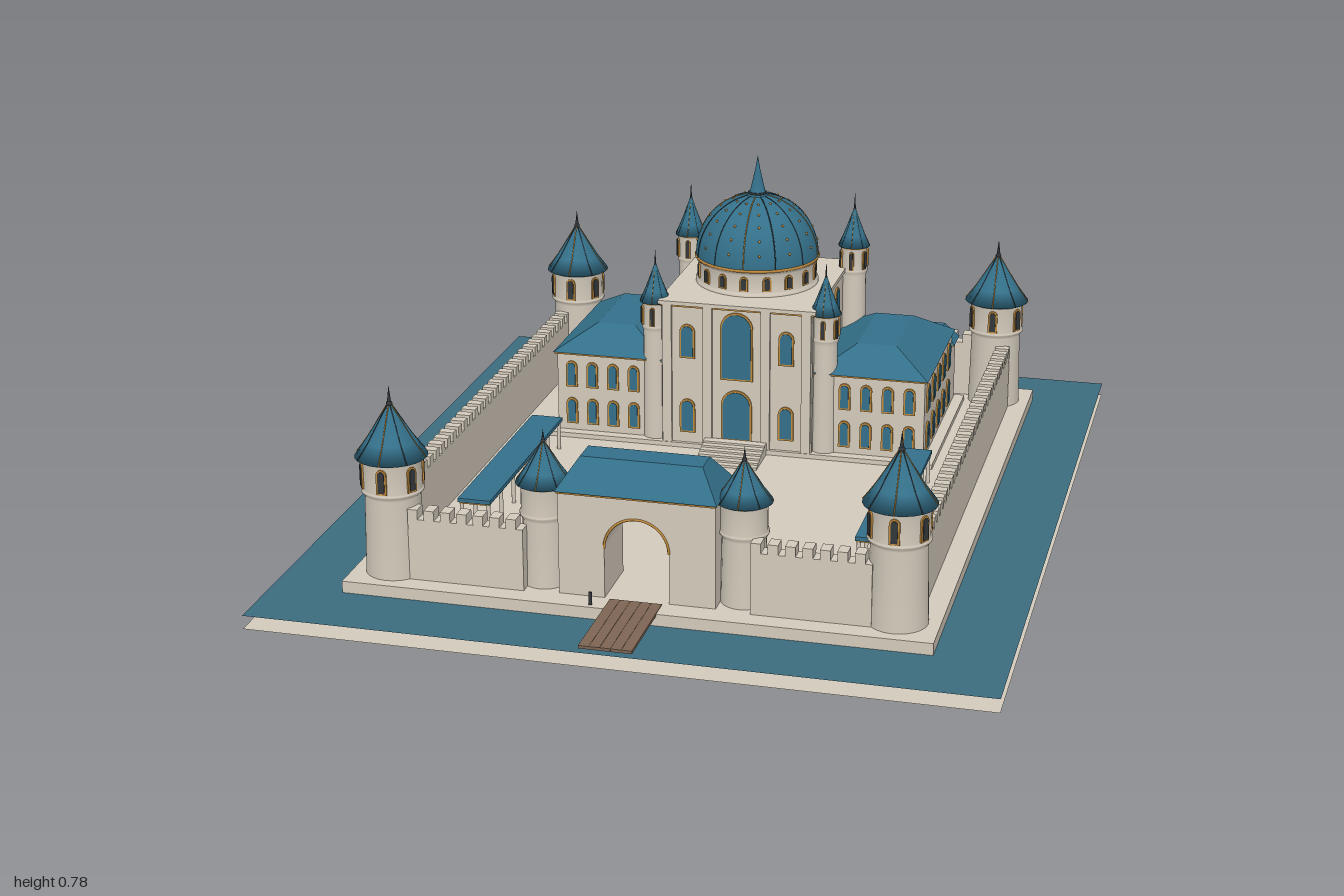
import * as THREE from 'three';

const mat = (name, color, side = THREE.FrontSide) => {
  const m = new THREE.MeshStandardMaterial({ color, side });
  m.name = name;
  return m;
};
const stone = mat('stone', 0xd3cabb, THREE.DoubleSide);
const roof = mat('roofBlue', 0x34708a);
const water = mat('waterBlue', 0x3d6c7f, THREE.DoubleSide);
const gold = mat('gold', 0xc08a3c);
const wood = mat('wood', 0x7d6553);
const dark = mat('darkMetal', 0x33373b);

const FLOOR = 0.06;

function add(parent, name, geo, material, x = 0, y = 0, z = 0) {
  const m = new THREE.Mesh(geo, material);
  m.name = name;
  m.position.set(x, y, z);
  parent.add(m);
  return m;
}

// Box given by its extents
function block(parent, name, material, x0, x1, y0, y1, z0, z1) {
  return add(parent, name, new THREE.BoxGeometry(x1 - x0, y1 - y0, z1 - z0), material,
    (x0 + x1) / 2, (y0 + y1) / 2, (z0 + z1) / 2);
}

const lathe = (points, seg = 24) =>
  new THREE.LatheGeometry(points.map(([r, y]) => new THREE.Vector2(r, y)), seg);

// Hipped roof: a box whose top is drawn in to a smaller rectangle
function hipRoof(parent, name, x0, x1, y0, y1, z0, z1, insetX, insetZ) {
  const w = x1 - x0, d = z1 - z0;
  const geo = new THREE.BoxGeometry(w, y1 - y0, d);
  const p = geo.attributes.position;
  for (let i = 0; i < p.count; i++) {
    if (p.getY(i) > 0) {
      p.setX(i, p.getX(i) * (1 - 2 * insetX / w));
      p.setZ(i, p.getZ(i) * (1 - 2 * insetZ / d));
    }
  }
  geo.computeVertexNormals();
  add(parent, name, geo, roof, (x0 + x1) / 2, (y0 + y1) / 2, (z0 + z1) / 2);
  block(parent, name + 'Eave', gold, x0 + 0.003, x1 - 0.003, y0 - 0.005, y0, z0 + 0.003, z1 - 0.003);
}

function archShape(w, h, Type = THREE.Shape) {
  const s = new Type();
  s.moveTo(-w / 2, 0);
  s.lineTo(w / 2, 0);
  s.lineTo(w / 2, h - w / 2);
  s.absarc(0, h - w / 2, w / 2, 0, Math.PI, false);
  s.closePath();
  return s;
}

// Arched window: gold surround behind a thin pane, facing +z turned by angle
function archWindow(parent, x, y, z, w, h, angle = 0, pane = roof) {
  const g = new THREE.Group();
  g.name = 'archedWindow';
  const plate = (name, pw, ph, depth, m, dy) => add(g, name, new THREE.ExtrudeGeometry(
    archShape(pw, ph), { depth, bevelEnabled: false, curveSegments: 6 }), m, 0, dy, 0);
  const f = Math.min(0.005, w * 0.18);
  plate('windowFrame', w, h, 0.004, gold, 0);
  plate('windowPane', w - 2 * f, h - 2 * f, 0.006, pane, f);
  g.position.set(x, y, z);
  g.rotation.y = angle;
  parent.add(g);
}

// Round tower with collar, pointed roof, gold ribs, finial and windows
function tower(parent, name, x, z, r, y0, eave, apex, tip, windows, winH) {
  const g = new THREE.Group();
  g.name = name;
  g.position.set(x, 0, z);
  parent.add(g);
  const collar = eave - winH * 1.35;
  add(g, 'shaft', lathe([[r, y0], [r * 0.94, collar - 0.01], [r * 1.06, collar], [r * 1.06, collar + 0.005],
    [r, collar + 0.008], [r, eave - 0.008], [r * 1.1, eave]]), stone);
  add(g, 'eaveBand', new THREE.CylinderGeometry(r * 1.14, r * 1.1, 0.006, 24), gold, 0, eave, 0);
  const R = r * 1.22, h = apex - eave;
  add(g, 'roof', lathe([[0, eave], [R, eave], [R * 0.68, eave + h * 0.3], [R * 0.3, eave + h * 0.72], [0.003, apex]]), roof);
  for (let i = 0; i < 8; i++) {
    const a = i * Math.PI / 4;
    const at = (k, t) => new THREE.Vector3(Math.cos(a) * R * k, eave + h * t, Math.sin(a) * R * k);
    const path = new THREE.CatmullRomCurve3([at(1, 0.003), at(0.68, 0.3), at(0.3, 0.72), at(0.05, 1)]);
    add(g, 'roofRib', new THREE.TubeGeometry(path, 6, r * 0.02, 4), i % 2 ? dark : gold);
  }
  add(g, 'finialBall', new THREE.SphereGeometry(r * 0.11, 10, 8), dark, 0, apex, 0);
  add(g, 'finialSpike', new THREE.ConeGeometry(r * 0.08, tip - apex, 8), dark, 0, (tip + apex) / 2, 0);
  for (let i = 0; i < windows; i++) {
    const a = i * 2 * Math.PI / windows;
    archWindow(g, Math.sin(a) * r * 0.98, collar + winH * 0.15, Math.cos(a) * r * 0.98, r * 0.36, winH, a, dark);
  }
}

// Crenellated wall running between two points along one axis
function wall(parent, alongX, fixed, from, to) {
  const put = (name, a, b, y0, y1, t) => alongX
    ? block(parent, name, stone, a, b, y0, y1, fixed - t, fixed + t)
    : block(parent, name, stone, fixed - t, fixed + t, y0, y1, a, b);
  put('curtainWall', from, to, FLOOR, 0.207, 0.018);
  const n = Math.round((to - from) / 0.041), step = (to - from) / n;
  for (let i = 0; i < n; i++) put('merlon', from + i * step, from + (i + 0.6) * step, 0.207, 0.23, 0.018);
}

export function createModel() {
  const root = new THREE.Group();
  root.name = 'domedPalace';

  // Ground sheet, moat and plinth
  for (const [name, m, y] of [['groundSheet', stone, 0], ['moat', water, 0.032]]) {
    add(root, name, new THREE.PlaneGeometry(1.69, 1.975), m, 0, y, -0.0125).rotation.x = -Math.PI / 2;
  }
  block(root, 'plinth', stone, -0.675, 0.675, 0.001, FLOOR, -0.83, 0.805);

  // Bridge planks and gate post
  for (let i = 0; i < 5; i++) {
    const x = -0.06 + i * 0.024;
    block(root, 'bridgePlank', wood, x, x + 0.0235, 0.055, 0.062, 0.755, 1);
  }
  add(root, 'gatePost', new THREE.CylinderGeometry(0.004, 0.004, 0.03, 8), dark, -0.095, 0.075, 0.79);

  // Outer walls and corner towers
  wall(root, true, -0.768, -0.53, 0.53);
  for (const s of [-1, 1]) {
    wall(root, false, s * 0.608, -0.68, 0.66);
    wall(root, true, 0.738, s > 0 ? 0.26 : -0.53, s > 0 ? 0.53 : -0.26);
    for (const z of [-0.735, 0.71]) tower(root, 'cornerTower', s * 0.58, z, 0.068, FLOOR, 0.34, 0.462, 0.505, 6, 0.06);
    tower(root, 'gateTurret', s * 0.23, 0.685, 0.053, FLOOR, 0.3, 0.395, 0.425, 0, 0.055);
  }

  // Gatehouse with an arched passage
  const gate = new THREE.Shape();
  gate.moveTo(-0.18, 0);
  gate.lineTo(-0.074, 0);
  gate.lineTo(-0.074, 0.12);
  gate.absarc(0, 0.12, 0.074, Math.PI, 0, true);
  gate.lineTo(0.074, 0);
  gate.lineTo(0.18, 0);
  gate.lineTo(0.18, 0.242);
  gate.lineTo(-0.18, 0.242);
  gate.closePath();
  add(root, 'gatehouse', new THREE.ExtrudeGeometry(gate, { depth: 0.15, bevelEnabled: false }), stone, 0, FLOOR, 0.597);
  for (const z of [0.597, 0.747]) {
    add(root, 'gateArchTrim', new THREE.TorusGeometry(0.074, 0.003, 6, 20, Math.PI), gold, 0, 0.18, z);
  }
  hipRoof(root, 'gatehouseRoof', -0.185, 0.185, 0.307, 0.375, 0.582, 0.757, 0.045, 0.055);

  // Courtyard fountain
  add(root, 'fountainBasin', lathe([[0, 0.06], [0.06, 0.06], [0.07, 0.085], [0.066, 0.087], [0.06, 0.076]]), stone, 0, 0, 0.2);
  add(root, 'fountainRim', new THREE.TorusGeometry(0.069, 0.003, 6, 28).rotateX(Math.PI / 2), dark, 0, 0.086, 0.2);
  add(root, 'fountainWater', new THREE.CylinderGeometry(0.069, 0.06, 0.006, 28), water, 0, 0.084, 0.2);
  add(root, 'fountainJet', lathe([[0.022, 0.08], [0.012, 0.1], [0.014, 0.12], [0.006, 0.14], [0, 0.175]], 14), roof, 0, 0, 0.2);

  // Side pergolas
  for (const s of [-1, 1]) {
    block(root, 'pergolaRoof', roof, s * 0.476 - 0.04, s * 0.476 + 0.04, 0.132, 0.142, -0.11, 0.465);
    block(root, 'pergolaBeam', gold, s * 0.476 - 0.037, s * 0.476 + 0.037, 0.128, 0.132, -0.107, 0.462);
    for (let i = 0; i < 7; i++) for (const dx of [-0.033, 0.033]) {
      add(root, 'pergolaPost', new THREE.CylinderGeometry(0.005, 0.005, 0.07, 8), stone, s * 0.476 + dx, 0.094, -0.1 + i * 0.0925);
    }
  }

  // Palace terrace and stairs
  block(root, 'terrace', stone, -0.505, 0.505, FLOOR, 0.072, -0.71, -0.185);
  for (let i = 0; i < 6; i++) block(root, 'stair', stone, -0.08, 0.08, FLOOR, 0.066 + i * 0.005, -0.19, -0.075 - i * 0.018);

  // Central block with cornices
  block(root, 'centralBlock', stone, -0.195, 0.195, FLOOR, 0.442, -0.635, -0.195);
  block(root, 'cornice', stone, -0.203, 0.203, 0.44, 0.45, -0.643, -0.186);
  block(root, 'corniceLine', gold, -0.198, 0.198, 0.435, 0.44, -0.638, -0.191);
  for (const x of [-0.18, -0.075, 0.075, 0.18]) block(root, 'pilaster', stone, x - 0.012, x + 0.012, FLOOR, 0.44, -0.195, -0.187);
  archWindow(root, 0, 0.088, -0.195, 0.08, 0.135);
  archWindow(root, 0, 0.25, -0.195, 0.085, 0.18);
  for (const x of [-0.128, 0.128]) {
    archWindow(root, x, 0.1, -0.195, 0.04, 0.09);
    archWindow(root, x, 0.3, -0.195, 0.04, 0.09);
  }
  for (const x of [-0.1, 0, 0.1]) archWindow(root, x, 0.345, -0.635, 0.045, 0.075, Math.PI);

  // Wings, mirrored
  for (const s of [-1, 1]) {
    const a = Math.min(s * 0.19, s * 0.478), b = Math.max(s * 0.19, s * 0.478);
    block(root, 'wing', stone, a, b, FLOOR, 0.28, -0.64, -0.213);
    hipRoof(root, 'wingRoof', Math.min(s * 0.195, s * 0.487), Math.max(s * 0.195, s * 0.487), 0.283, 0.342, -0.63, -0.203, 0.096, 0.088);
    for (const y of [0.09, 0.19]) {
      for (let i = 0; i < 4; i++) archWindow(root, s * (0.275 + i * 0.055), y, -0.213, 0.03, 0.07);
      for (let i = 0; i < 5; i++) archWindow(root, s * 0.478, y, -0.26 - i * 0.08, 0.035, 0.07, s * Math.PI / 2);
    }
    for (const z of [-0.34, -0.49]) archWindow(root, s * 0.195, 0.345, z, 0.045, 0.075, s * Math.PI / 2);
    tower(root, 'frontTurret', s * 0.22, -0.23, 0.033, FLOOR, 0.435, 0.53, 0.572, 6, 0.05);
    tower(root, 'backTurret', s * 0.22, -0.592, 0.034, FLOOR, 0.507, 0.605, 0.65, 6, 0.05);
  }

  // Rear gallery
  block(root, 'rearGallery', stone, -0.478, 0.478, FLOOR, 0.24, -0.698, -0.63);
  hipRoof(root, 'rearGalleryRoof', -0.487, 0.487, 0.24, 0.283, -0.707, -0.622, 0.035, 0.03);
  for (let i = 0; i < 11; i++) archWindow(root, -0.42 + i * 0.084, 0.14, -0.698, 0.035, 0.075, Math.PI);

  // Drum and dome
  const dome = new THREE.Group();
  dome.name = 'dome';
  dome.position.set(0, 0, -0.42);
  root.add(dome);
  add(dome, 'drum', lathe([[0.158, 0.445], [0.158, 0.458], [0.15, 0.46], [0.15, 0.505], [0.158, 0.512], [0.158, 0.518], [0, 0.518]], 40), stone);
  for (let i = 0; i < 16; i++) {
    const a = i * Math.PI / 8;
    archWindow(dome, Math.sin(a) * 0.149, 0.463, Math.cos(a) * 0.149, 0.022, 0.038, a, dark);
  }
  add(dome, 'domeRing', new THREE.TorusGeometry(0.157, 0.004, 6, 40).rotateX(Math.PI / 2), gold, 0, 0.518, 0);
  const R = 0.158;
  add(dome, 'domeShell', new THREE.SphereGeometry(R, 40, 16, 0, Math.PI * 2, 0, Math.PI / 2), roof, 0, 0.52, 0);
  for (let i = 0; i < 12; i++) {
    const rib = add(dome, 'domeRib', new THREE.TorusGeometry(R, 0.0014, 4, 20, Math.PI / 2), i % 3 ? dark : gold, 0, 0.52, 0);
    rib.rotation.y = i * Math.PI / 6;
    for (let k = 1; k < 6; k++) {
      const a = (i + 0.5) * Math.PI / 6, e = k * 0.235;
      add(dome, 'domeStud', new THREE.SphereGeometry(0.0035, 6, 4), gold,
        Math.cos(a) * Math.cos(e) * R, 0.52 + Math.sin(e) * R, Math.sin(a) * Math.cos(e) * R);
    }
  }
  add(dome, 'domeSpire', lathe([[0.03, 0.672], [0.02, 0.685], [0.014, 0.71], [0.006, 0.745], [0, 0.78]], 16), roof);
  add(dome, 'spireCollar', new THREE.TorusGeometry(0.022, 0.003, 6, 20).rotateX(Math.PI / 2), dark, 0, 0.682, 0);
  return root;
}
